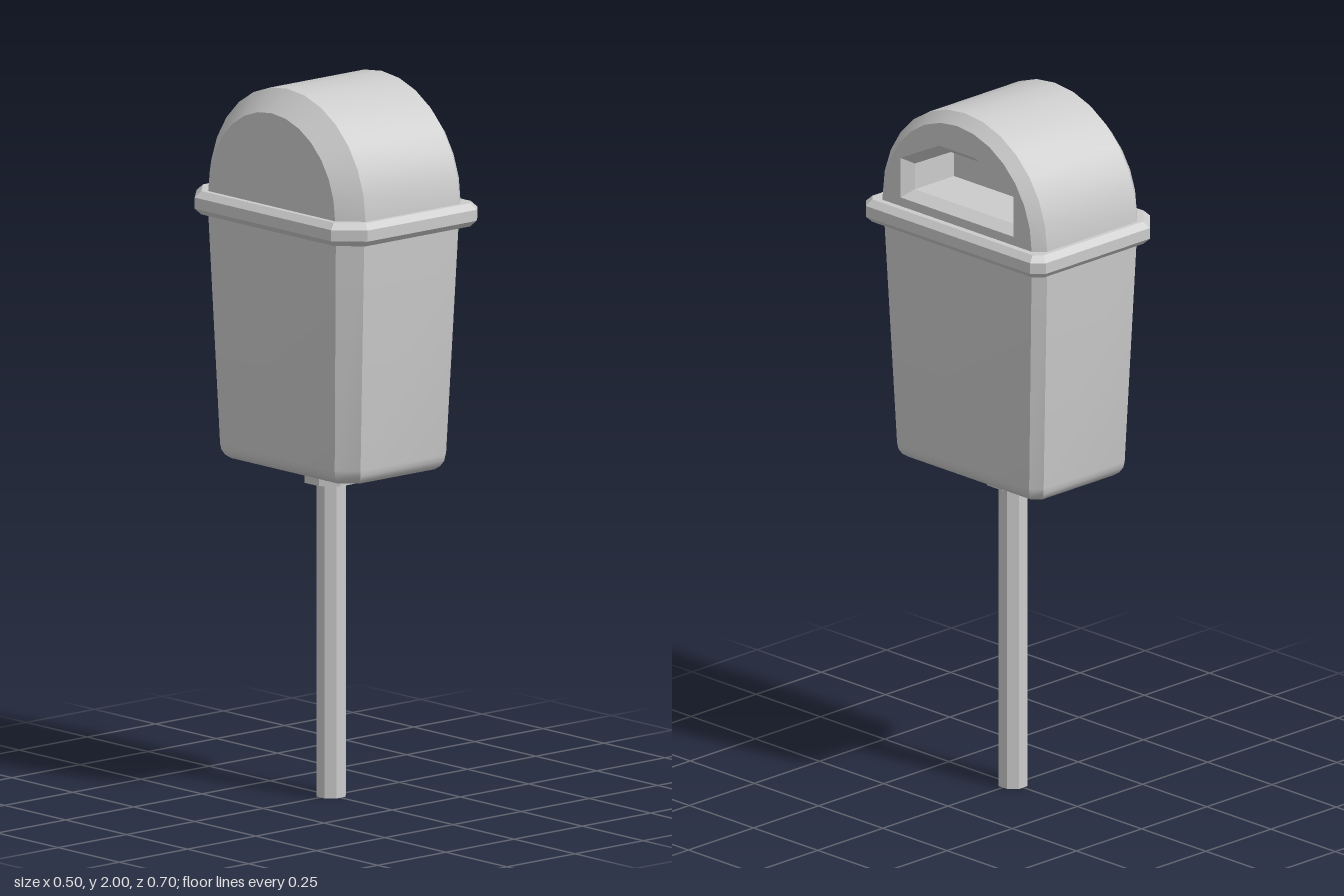
import * as THREE from 'three';
import { toCreasedNormals } from 'three/addons/utils/BufferGeometryUtils.js';

const material = new THREE.MeshStandardMaterial({ color: 0xcccccc });

// Skin a list of rings (equal point counts); caps are fans, so end rings are convex
function loft(rings, capStart = true, capEnd = true) {
  const n = rings[0].length;
  const index = [];
  for (let i = 0; i < rings.length - 1; i++) {
    for (let j = 0; j < n; j++) {
      const a = i * n + j, b = i * n + (j + 1) % n;
      index.push(a, b, b + n, a, b + n, a + n);
    }
  }
  const last = (rings.length - 1) * n;
  for (let j = 1; j < n - 1; j++) {
    if (capStart) index.push(0, j + 1, j);
    if (capEnd) index.push(last, last + j, last + j + 1);
  }
  const geometry = new THREE.BufferGeometry();
  geometry.setAttribute('position', new THREE.Float32BufferAttribute(rings.flat(2), 3));
  geometry.setIndex(index);
  return toCreasedNormals(geometry, 0.5);
}

// Horizontal rectangle with wide chamfers at -x and narrow ones at +x
function outline(y, xMin, xMax, z, wide, narrow) {
  return [
    [xMax, y, z - narrow], [xMax, y, narrow - z], [xMax - narrow, y, -z], [xMin + wide, y, -z],
    [xMin, y, wide - z], [xMin, y, z - wide], [xMin + wide, y, z], [xMax - narrow, y, z],
  ];
}

// Arch as [across, up] points, counter-clockwise
const archBase = 1.66, archCentre = 1.68;
function arch(r) {
  const points = [[r, archBase]];
  for (let i = 0; i <= 14; i++) {
    const a = (i / 14) * Math.PI;
    points.push([r * Math.cos(a), archCentre + r * Math.sin(a)]);
  }
  points.push([-r, archBase]);
  return points;
}
const atX = (points, x) => points.map(([across, up]) => [x, up, -across]);

// Six-sided slot outline
const slot = (w, bottom, shoulder, top, topW) => [
  [w, bottom], [w, shoulder], [topW, top], [-topW, top], [-w, shoulder], [-w, bottom],
];

export function createModel() {
  const group = new THREE.Group();
  const add = (name, geometry) => {
    const mesh = new THREE.Mesh(geometry, material);
    mesh.name = name;
    group.add(mesh);
    return mesh;
  };

  // Post and collar
  const pole = new THREE.CylinderGeometry(0.043, 0.043, 0.9, 8).toNonIndexed();
  pole.rotateY(Math.PI / 8).translate(0, 0.45, 0);
  add('post', toCreasedNormals(pole, 0.5));
  const collar = new THREE.CylinderGeometry(0.077, 0.077, 0.06, 8).toNonIndexed();
  collar.rotateY(Math.PI / 8).translate(0, 0.91, 0);
  add('collar', toCreasedNormals(collar, 0.5));

  // Tapered bin body with a rounded bottom edge
  const bodyRings = [];
  for (let i = 0; i <= 4; i++) {
    const a = (i / 4) * Math.PI / 2;
    const inset = 0.04 * (1 - Math.sin(a));
    bodyRings.push(outline(0.93 + 0.045 * (1 - Math.cos(a)),
      -0.197 + inset, 0.192 - inset, 0.285 - inset, 0.05 - inset * 0.3, 0.028 - inset * 0.3));
  }
  bodyRings.push(outline(1.63, -0.217, 0.212, 0.317, 0.055, 0.03));
  add('binBody', loft(bodyRings));

  // Bevelled rim between body and lid
  add('rim', loft([[1.615, 0.017], [1.632, 0], [1.663, 0], [1.68, 0.017]].map(([y, inset]) =>
    outline(y, -0.25 + inset, 0.25 - inset, 0.35 - inset, 0.07 - inset * 0.5, 0.03 - inset * 0.5))));

  // Arched lid, chamfered more deeply at the closed end
  const openX = 0.215;
  add('lid', loft([
    atX(arch(0.26), -0.218), atX(arch(0.32), -0.16),
    atX(arch(0.32), 0.185), atX(arch(0.29), openX),
  ], true, false));

  // Open end face of the lid
  const toVectors = (points) => points.map(([x, y]) => new THREE.Vector2(x, y));
  const mouth = slot(0.22, 1.705, 1.82, 1.895, 0.07);
  const throat = slot(0.2, 1.725, 1.8, 1.87, 0.06);
  const face = new THREE.Shape(toVectors(arch(0.29)));
  face.holes.push(new THREE.Path(toVectors(mouth)));
  add('lidFace', new THREE.ShapeGeometry(face).rotateY(Math.PI / 2).translate(openX, 0, 0));

  // Litter slot: bevelled frame leading into a recess
  add('slotRecess', loft([atX(mouth, openX), atX(throat, 0.18), atX(throat, 0.03)], false, true));

  return group;
}
